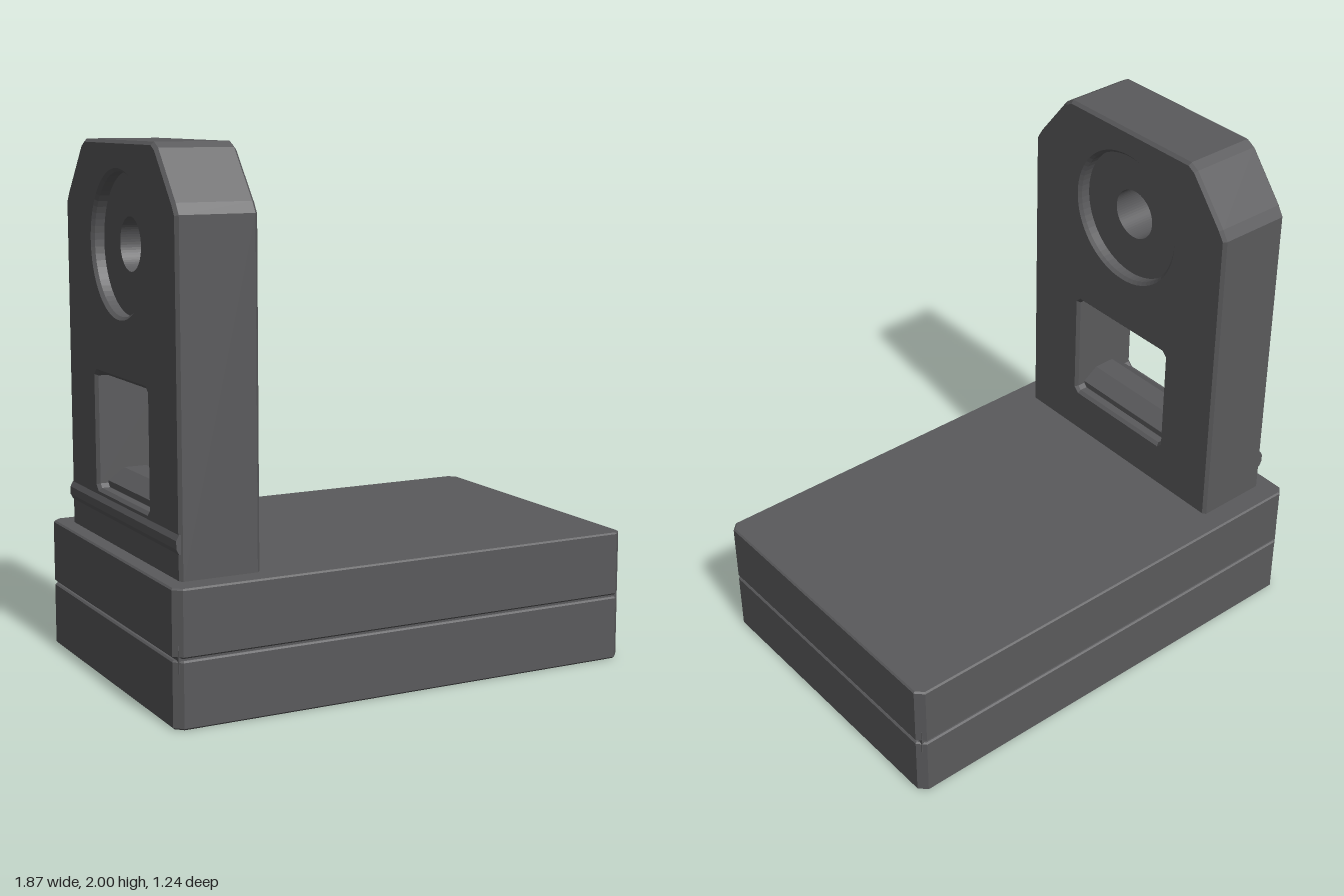
import * as THREE from 'three';

const polygon = (pts) => new THREE.Shape(pts.map(([x, y]) => new THREE.Vector2(x, y)));

// Extrude a shape to a total depth, centred on z, with a small inward chamfer.
function extrude(shape, depth, bevel = 0) {
  const geo = new THREE.ExtrudeGeometry(shape, {
    depth: depth - 2 * bevel, curveSegments: 32, bevelEnabled: bevel > 0,
    bevelThickness: bevel, bevelSize: bevel, bevelOffset: -bevel, bevelSegments: 1,
  });
  return geo.translate(0, 0, bevel - depth / 2);
}

// Rectangle with cut corners.
function cutRect(w, h, c, y = 0) {
  return [[-w + c, y - h], [w - c, y - h], [w, y - h + c], [w, y + h - c],
    [w - c, y + h], [-w + c, y + h], [-w, y + h - c], [-w, y - h + c]];
}

export function createModel() {
  const model = new THREE.Group();
  const grey = new THREE.MeshStandardMaterial({ color: 0x5a5a5c });
  grey.name = 'darkGrey';

  const add = (name, geo, x, y) => {
    const mesh = new THREE.Mesh(geo, grey);
    mesh.name = name;
    mesh.position.set(x, y, 0);
    model.add(mesh);
  };

  // Two stacked base slabs with a narrow groove between them
  const slab = polygon(cutRect(0.935, 0.622, 0.03));
  const slabGeo = () => extrude(slab, 0.246, 0.006).rotateX(-Math.PI / 2);
  add('lowerSlab', slabGeo(), 0, 0.123);
  add('upperSlab', slabGeo(), 0, 0.377);
  add('slabCore', new THREE.BoxGeometry(1.84, 0.1, 1.22), 0, 0.25);

  // Upright plate with sloped shoulders, bearing seat and window
  const boreY = 1.627;
  const plate = polygon([[-0.53, 0.49], [0.53, 0.49], [0.53, 1.76], [0.505, 1.80],
    [0.36, 1.98], [0.325, 2], [-0.325, 2], [-0.36, 1.98], [-0.505, 1.80], [-0.53, 1.76]]);
  const seat = new THREE.Path();
  seat.absarc(0, boreY, 0.262, 0, Math.PI * 2, true);
  const opening = new THREE.Path(
    cutRect(0.253, 0.222, 0.015, 0.911).reverse().map(([x, y]) => new THREE.Vector2(x, y)));
  plate.holes.push(seat, opening);
  const plateX = -0.721;
  add('upright', extrude(plate, 0.308, 0.012).rotateY(Math.PI / 2), plateX, 0);

  // Bored web between the two round recesses
  const web = new THREE.Shape();
  web.absarc(0, 0, 0.264, 0, Math.PI * 2, false);
  const bore = new THREE.Path();
  bore.absarc(0, 0, 0.1, 0, Math.PI * 2, true);
  web.holes.push(bore);
  add('boredWeb', extrude(web, 0.21).rotateY(Math.PI / 2), plateX, boreY);

  // Ridge across the window floor
  const ridge = polygon([[-0.11, 0], [0.11, 0], [0.11, 0.025], [0.045, 0.07],
    [-0.045, 0.07], [-0.11, 0.025]]);
  add('windowRidge', extrude(ridge, 0.51), plateX, 0.688);

  // Small bead along the foot of the outer face
  const bead = polygon([[0.01, -0.035], [0.01, 0.035], [0, 0.035], [-0.011, 0.015],
    [-0.011, -0.015], [0, -0.035]].reverse());
  add('footBead', extrude(bead, 1.05), -0.875, 0.63);

  return model;
}
